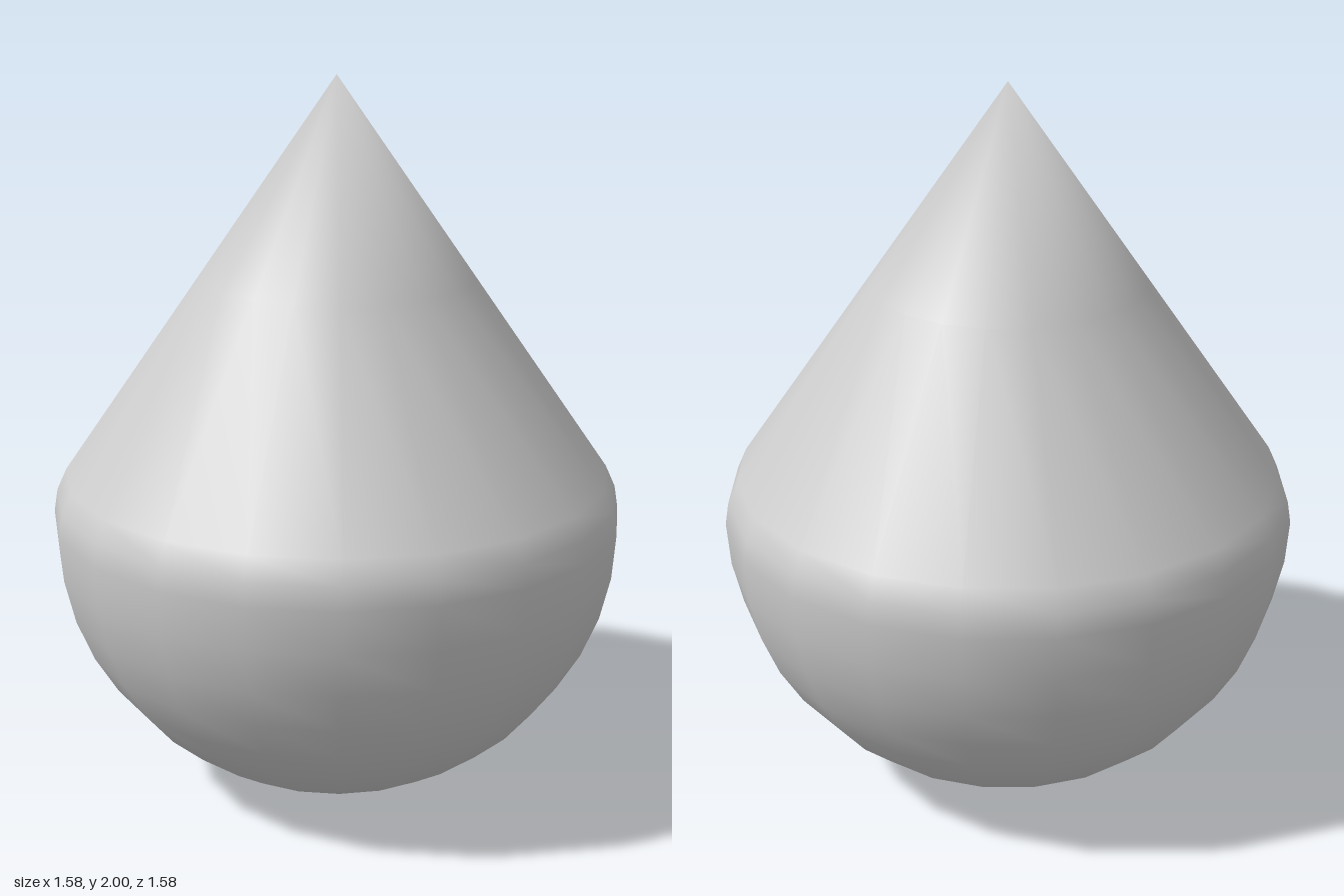
import * as THREE from 'three';
import { mergeVertices } from 'three/addons/utils/BufferGeometryUtils.js';

const RADIUS = 0.79;
const SIDES = 20;

export function createModel() {
  const group = new THREE.Group();
  group.name = 'teardrop';

  // Round bowl: quarter circle from the bottom pole up to the equator
  const profile = [];
  for (let i = 0; i <= 10; i++) {
    const a = (i / 10) * Math.PI / 2;
    profile.push(new THREE.Vector2(RADIUS * Math.sin(a), RADIUS * (1 - Math.cos(a))));
  }
  // Rounded shoulder, then a straight cone to the tip
  for (const [r, y] of [[0.78, 0.852], [0.753, 0.912], [0.3765, 1.456], [0, 2]]) {
    profile.push(new THREE.Vector2(r, y));
  }

  // Weld the seam and poles so the whole surface shades smoothly
  const lathe = new THREE.LatheGeometry(profile, SIDES);
  lathe.deleteAttribute('uv');
  lathe.deleteAttribute('normal');
  const geometry = mergeVertices(lathe);
  geometry.computeVertexNormals();

  const drop = new THREE.Mesh(geometry, new THREE.MeshStandardMaterial({ color: 0xcccccc }));
  drop.name = 'dropBody';
  group.add(drop);
  return group;
}
